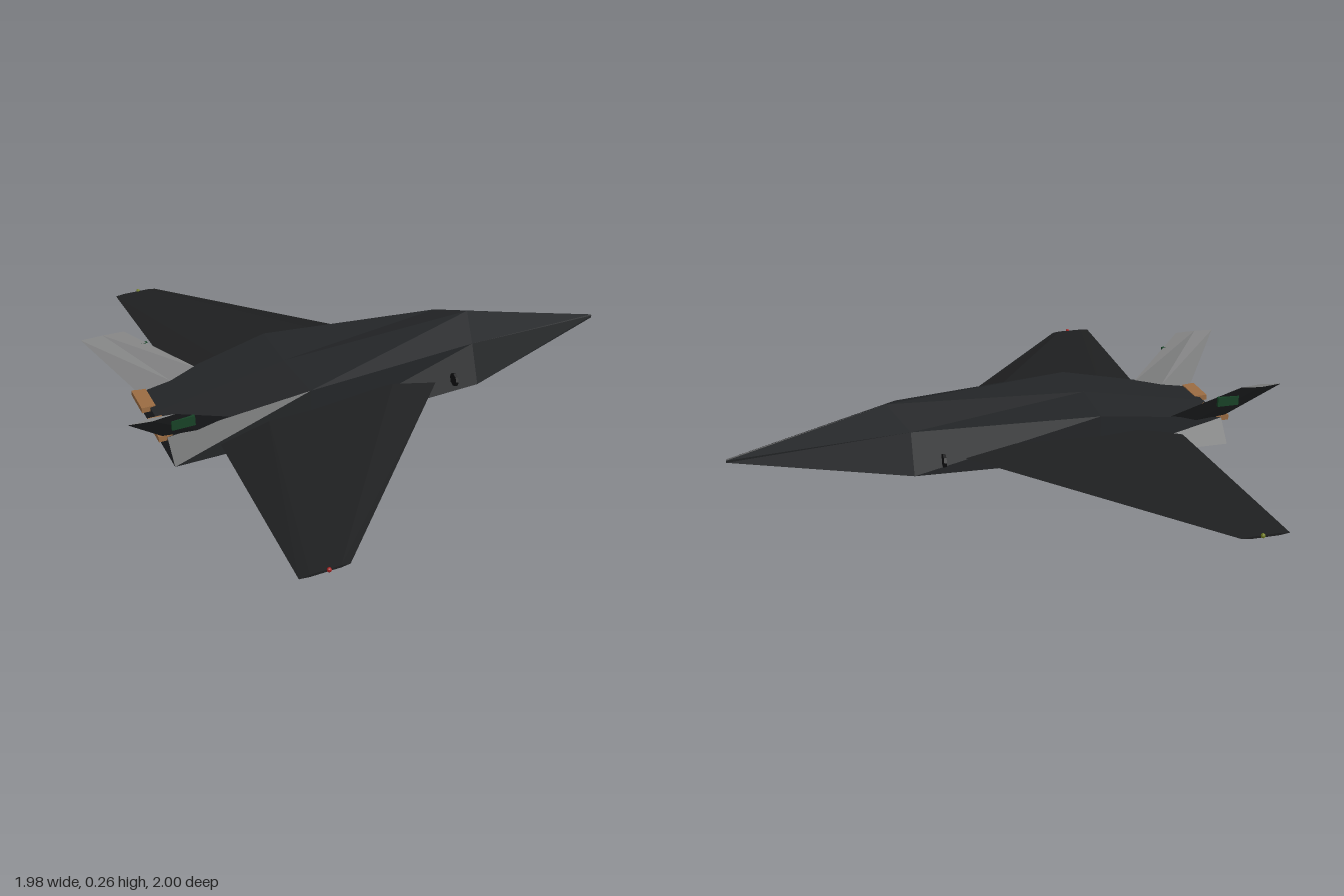
import * as THREE from 'three';

const mat = (color) => new THREE.MeshStandardMaterial({ color, flatShading: true });

// Closed, faceted skin over a row of matching rings of [x, y, z] points.
function loft(rings) {
  const n = rings[0].length, last = rings[rings.length - 1];
  const tris = [];
  for (let r = 0; r < rings.length - 1; r++) {
    for (let i = 0; i < n; i++) {
      const j = (i + 1) % n, a = rings[r], b = rings[r + 1];
      tris.push([a[i], b[i], b[j]], [a[i], b[j], a[j]]);
    }
  }
  for (let i = 1; i < n - 1; i++) {
    tris.push([rings[0][0], rings[0][i], rings[0][i + 1]]);
    tris.push([last[0], last[i + 1], last[i]]);
  }
  // Turn the faces outward: a mirrored part has negative volume.
  const v = (p) => new THREE.Vector3(...p);
  const volume = tris.reduce((s, [a, b, c]) => s + v(a).dot(v(b).cross(v(c))), 0);
  if (volume < 0) tris.forEach((t) => t.reverse());
  const geo = new THREE.BufferGeometry();
  geo.setAttribute('position', new THREE.Float32BufferAttribute(tris.flat(2), 3));
  geo.computeVertexNormals();
  return geo;
}

export function createModel() {
  const group = new THREE.Group();
  const skin = mat(0x232527), wingSkin = mat(0x1e1f20), dark = mat(0x101112);
  const copper = mat(0x9a6b42), green = mat(0x174226);

  const add = (name, geo, material, x = 0, y = 0, z = 0) => {
    const mesh = new THREE.Mesh(geo, material);
    mesh.name = name;
    mesh.position.set(x, y, z);
    group.add(mesh);
    return mesh;
  };

  // Fuselage: ridge, upper edge and floor edge at each station, nose along +x
  const station = (x, ridgeX, ridgeY, edgeY, edgeZ, floorY, floorZ) => [
    [ridgeX, ridgeY, 0], [x, edgeY, edgeZ], [x, floorY, floorZ],
    [x, floorY, -floorZ], [x, edgeY, -edgeZ],
  ];
  add('fuselage', loft([
    station(0.988, 0.988, 0.052, 0.048, 0.003, 0.04, 0.003),
    station(0.35, 0.41, 0.2, 0.148, 0.15, 0, 0.2),
    station(-0.33, -0.34, 0.17, 0.165, 0.225, 0, 0.23),
    station(-0.83, -0.83, 0.083, 0.08, 0.165, 0, 0.23),
  ]), skin);

  for (const s of [1, -1]) {
    const side = s > 0 ? 'left' : 'right';

    // Wing: hexagonal root section tapering to a thin tip
    const root = [[0.175, 0.05], [0, 0.09], [-0.48, 0.088], [-0.665, 0.042], [-0.48, 0.02], [0, 0.02]];
    const tip = [[-0.53, 0.046], [-0.56, 0.05], [-0.66, 0.05], [-0.695, 0.046], [-0.66, 0.042], [-0.56, 0.042]];
    add(side + 'Wing', loft([
      root.map(([x, y]) => [x, y, s * 0.195]),
      tip.map(([x, y]) => [x, y, s * 0.987]),
    ]), wingSkin);
    add(side + 'WingtipLight', new THREE.SphereGeometry(0.008, 8, 6),
      mat(s > 0 ? 0x9a1c1c : 0x6f7a20), -0.6, 0.05, s * 0.99);

    // Canted tail fin: diamond section from a leading to a trailing edge
    const finRing = (front, back, frontY, backY, half) => {
      const z = (y) => 0.155 + (y - 0.08) * 0.85;
      const midX = (front + back) / 2, midY = (frontY + backY) / 2;
      return [
        [front, frontY, s * z(frontY)],
        [midX, midY + half * 0.65, s * (z(midY) - half * 0.76)],
        [back, backY, s * z(backY)],
        [midX, midY - half * 0.65, s * (z(midY) + half * 0.76)],
      ];
    };
    add(side + 'TailFin', loft([
      finRing(-0.6, -0.835, 0.105, 0.075, 0.014),
      finRing(-0.832, -0.988, 0.254, 0.254, 0.006),
    ]), skin);
    add(side + 'FinPanel', new THREE.BoxGeometry(0.08, 0.035, 0.012), green, -0.8, 0.193, s * 0.27);

    // Flat exhaust nozzle
    add(side + 'Nozzle', new THREE.BoxGeometry(0.05, 0.02, 0.13), copper, -0.835, 0.078, s * 0.1);

    // Small disc-shaped sensor on the forward flank
    add(side + 'Sensor', new THREE.CylinderGeometry(0.025, 0.025, 0.01, 8), dark, 0.245, 0.053, s * 0.21)
      .rotation.z = Math.PI / 2;
  }
  return group;
}
